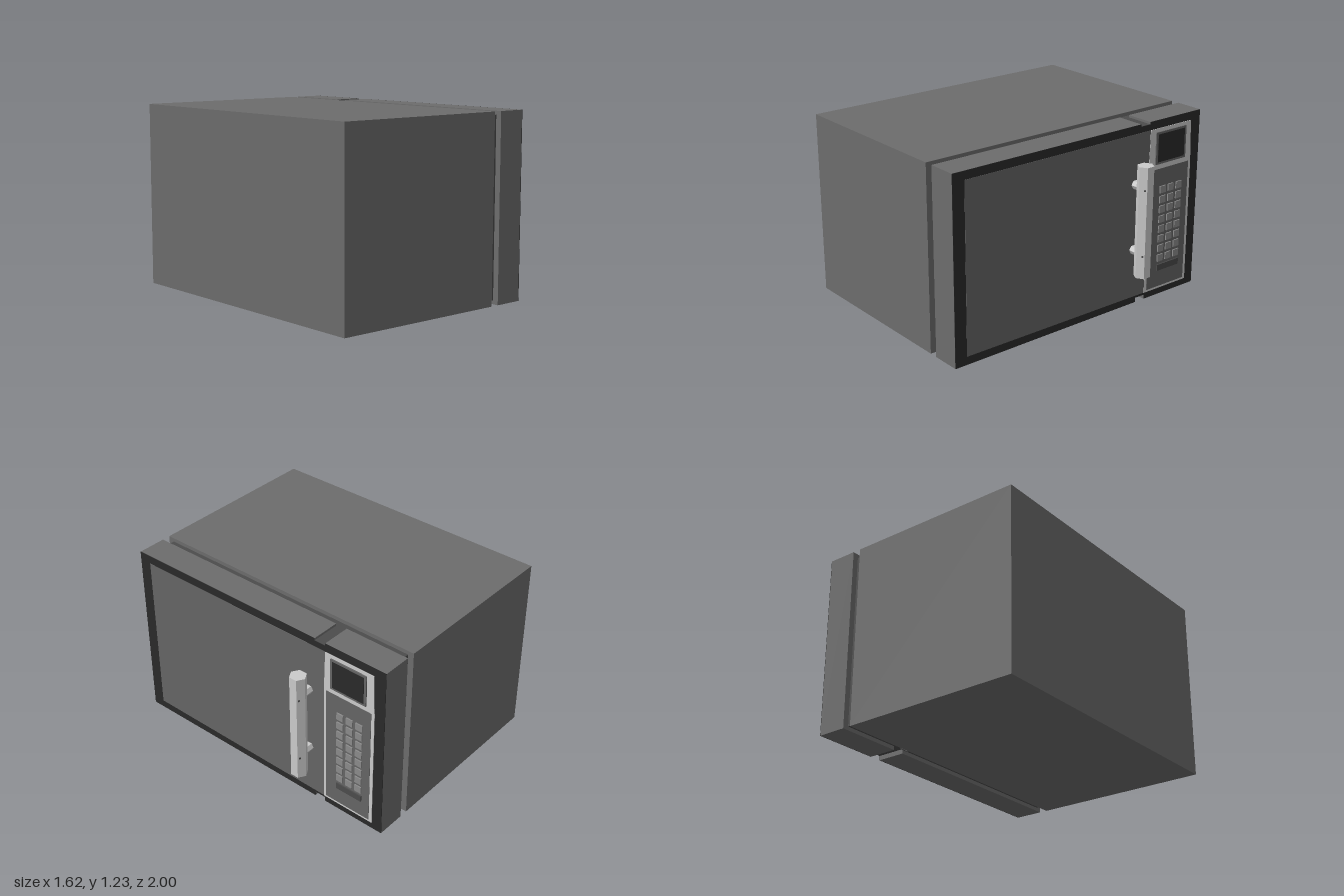
import * as THREE from 'three';

const mat = (c) => new THREE.MeshStandardMaterial({ color: c, flatShading: true });

export function createModel() {
  const group = new THREE.Group();
  const shell = mat(0x6c6c6c), seam = mat(0x4c4c4c), black = mat(0x2a2a2a);
  const glass = mat(0x666666), light = mat(0xcccccc), keys = mat(0x8c8c8c);

  const add = (name, geo, m, parent = group) => {
    const mesh = new THREE.Mesh(geo, m);
    mesh.name = name;
    parent.add(mesh);
    return mesh;
  };
  // Box given by its limits on each axis
  const box = (name, m, [x0, x1], [y0, y1], [z0, z1], parent) => {
    const mesh = add(name, new THREE.BoxGeometry(x1 - x0, y1 - y0, z1 - z0), m, parent);
    mesh.position.set((x0 + x1) / 2, (y0 + y1) / 2, (z0 + z1) / 2);
    return mesh;
  };
  // Flat plate facing +x, outlined by [z, y] corners
  const plate = (name, m, corners, x0, x1) => {
    const shape = new THREE.Shape(corners.map(([z, y]) => new THREE.Vector2(-z, y)));
    const geo = new THREE.ExtrudeGeometry(shape, { depth: x1 - x0, bevelEnabled: false });
    geo.rotateY(Math.PI / 2);
    return add(name, geo, m).position.setX(x0);
  };

  const H = 1.225;
  // Cabinet and the recessed seam behind the door
  box('cabinet', shell, [-0.81, 0.412], [0, H], [-1, 1]);
  box('seam', seam, [0.412, 0.468], [0.025, 1.2], [-0.96, 0.96]);
  box('latchPlate', light, [0.412, 0.416], [0, 0.03], [-0.55, -0.47]);

  // Door and control column, joined by a shallow groove, with black faces
  const fronts = [
    ['door', shell, [0, H], [-0.47, 1]],
    ['controlColumn', shell, [0, H], [-1, -0.55]],
    ['groove', seam, [0.03, 1.21], [-0.55, -0.47]],
  ];
  for (const [name, m, y, z] of fronts) {
    box(name, m, [0.468, 0.662], y, z);
    box(name + 'Face', black, [0.662, 0.665], y, z);
  }

  // Window and control panel trim
  plate('window', glass, [[0.915, 0.055], [-0.545, 0.046], [-0.553, 1.17], [0.915, 1.17]], 0.664, 0.667);
  plate('panelTrim', light,
    [[-0.545, 0.045], [-0.927, 0.045], [-0.927, 0.88], [-0.915, 1.17], [-0.555, 1.17], [-0.545, 0.88]], 0.664, 0.669);
  box('keypadPanel', glass, [0.666, 0.671], [0.06, 0.895], [-0.905, -0.565]);

  // Display
  box('displayFrame', glass, [0.666, 0.677], [0.93, 1.147], [-0.868, -0.6]);
  box('displayScreen', black, [0.67, 0.679], [0.945, 1.133], [-0.852, -0.616]);

  // Keys
  const keypad = new THREE.Group();
  keypad.name = 'keypad';
  group.add(keypad);
  for (let row = 0; row < 8; row++) {
    for (let col = 0; col < 3; col++) {
      const y = 0.75 - row * 0.069, z = -0.675 - col * 0.0725;
      box('key', keys, [0.668, 0.679], [y - 0.024, y + 0.024], [z - 0.025, z + 0.025], keypad);
    }
  }
  box('startKey', seam, [0.668, 0.679], [0.178, 0.221], [-0.846, -0.65], keypad);

  // Hexagonal handle on two posts, with screws on its slanted faces
  const handle = new THREE.Group();
  handle.name = 'handle';
  handle.position.set(0.762, 0, -0.425);
  group.add(handle);
  add('handleBar', new THREE.CylinderGeometry(0.055, 0.055, 0.755, 6), light, handle).position.y = 0.6125;
  for (const y of [0.837, 0.39]) {
    const post = add('handlePost', new THREE.CylinderGeometry(0.03, 0.03, 0.09, 6), light, handle);
    post.rotation.z = Math.PI / 2;
    post.position.set(-0.057, y, -0.004);
    for (const side of [-1, 1]) {
      const screw = add('screw', new THREE.CylinderGeometry(0.007, 0.007, 0.004, 8), seam, handle);
      const normal = new THREE.Vector3(0.5, 0, side * 0.866);
      screw.quaternion.setFromUnitVectors(new THREE.Vector3(0, 1, 0), normal);
      screw.position.set(0.035, y, side * 0.0355);
    }
  }
  return group;
}
